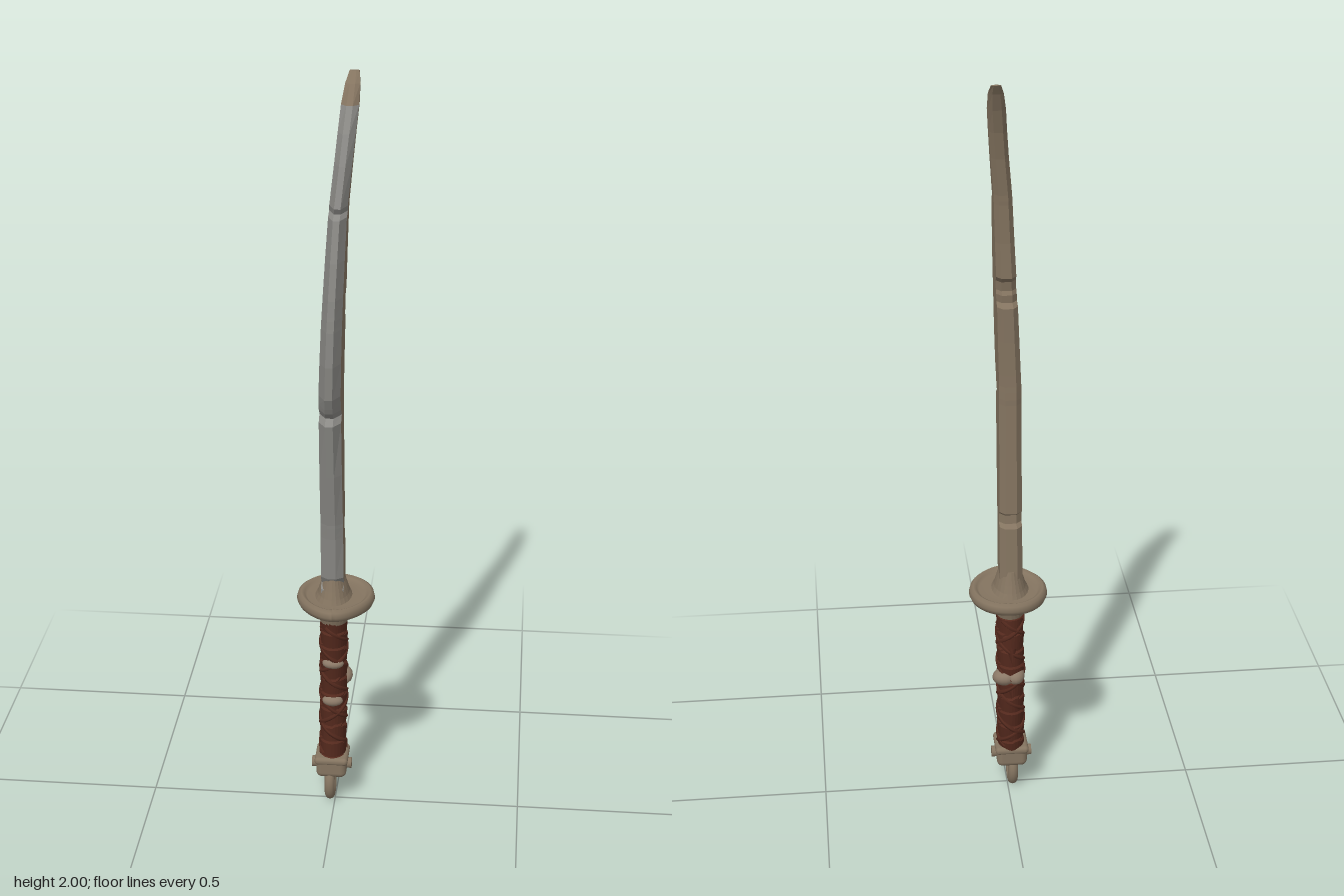
import * as THREE from 'three';
import { RoundedBoxGeometry } from 'three/addons/geometries/RoundedBoxGeometry.js';

const mat = (name, color) => Object.assign(new THREE.MeshStandardMaterial({ color }), { name });

// Closed loft through rings of points (counter-clockwise from above); pick(row, col) gives the material index
function loft(rings, pick = () => 0) {
  const lists = [[], []];
  const tri = (m, ...pts) => pts.forEach(p => lists[m].push(p.x, p.y, p.z));
  const n = rings[0].length;
  for (let i = 0; i < rings.length - 1; i++) {
    for (let j = 0; j < n; j++) {
      const k = (j + 1) % n, lo = rings[i], hi = rings[i + 1], m = pick(i, j);
      tri(m, lo[j], lo[k], hi[k]);
      tri(m, lo[j], hi[k], hi[j]);
    }
  }
  const mid = r => r.reduce((s, p) => s.add(p), new THREE.Vector3()).divideScalar(n);
  const bottom = rings[0], top = rings[rings.length - 1], cb = mid(bottom), ct = mid(top);
  for (let j = 0; j < n; j++) {
    const k = (j + 1) % n;
    tri(0, bottom[k], bottom[j], cb);
    tri(0, top[j], top[k], ct);
  }
  const g = new THREE.BufferGeometry();
  g.setAttribute('position', new THREE.Float32BufferAttribute([...lists[0], ...lists[1]], 3));
  g.addGroup(0, lists[0].length / 3, 0);
  g.addGroup(lists[0].length / 3, lists[1].length / 3, 1);
  g.computeVertexNormals();
  return g;
}

export function createModel() {
  const model = new THREE.Group();
  model.name = 'curvedSword';
  const metal = mat('agedBronze', 0x847460);
  const steel = mat('sharpenedSteel', 0x8a8985);
  const leather = mat('leather', 0x54291d);
  const core = mat('gripCore', 0x8c7a68);
  const add = (name, geometry, material, x = 0, y = 0, z = 0) => {
    const mesh = new THREE.Mesh(geometry, material);
    mesh.name = name;
    mesh.position.set(x, y, z);
    model.add(mesh);
    return mesh;
  };

  // Blade outline: height, cutting edge z, spine z (short steps are nicks)
  const outline = [
    [0.62, 0.035, -0.062], [0.655, 0.034, -0.06], [0.668, 0.018, -0.059], [0.69, 0.032, -0.057],
    [0.81, 0.042, -0.046], [0.818, 0.043, -0.03], [0.842, 0.046, -0.028], [0.852, 0.047, -0.043],
    [1.0, 0.074, -0.034], [1.15, 0.1, -0.025], [1.165, 0.08, -0.025], [1.185, 0.1, -0.024],
    [1.2, 0.108, -0.023], [1.23, 0.122, -0.022], [1.32, 0.132, -0.02], [1.41, 0.131, -0.02],
    [1.42, 0.13, -0.003], [1.44, 0.129, -0.005], [1.45, 0.128, 0.001], [1.475, 0.126, -0.003],
    [1.49, 0.125, -0.02], [1.58, 0.111, -0.018], [1.68, 0.087, -0.022], [1.69, 0.065, -0.023],
    [1.705, 0.074, -0.024], [1.8, 0.038, -0.037], [1.87, 0.005, -0.053], [1.93, -0.032, -0.073],
    [1.975, -0.068, -0.093], [2.0, -0.1, -0.109],
  ];
  const lerpTable = (table, y) => {
    const i = Math.max(1, table.findIndex(r => r[0] >= y));
    const [a, b] = [table[i - 1], table[i]];
    return THREE.MathUtils.lerp(a[1], b[1], (y - a[0]) / (b[0] - a[0]));
  };
  const lean = [[0.6, -0.006], [1.2, -0.007], [1.4, -0.001], [1.7, 0.011], [1.8, 0.02], [2, 0.037]];
  const half = [[0.6, 0.03], [1.2, 0.028], [1.4, 0.026], [1.75, 0.022], [1.96, 0.022], [2, 0.012]];
  const bevel = [[0.6, 0.012], [1, 0.02], [1.25, 0.036], [1.7, 0.036], [1.9, 0.02], [2, 0.004]];
  const bladeRings = outline.map(([y, zf, zb]) => {
    const x = lerpTable(lean, y), t = lerpTable(half, y);
    const d = zf - zb, b = Math.min(lerpTable(bevel, y), d * 0.45), c = Math.min(0.016, d * 0.3);
    const side = [[t * 0.35, zf], [t, zf - b], [t, zb + c], [t * 0.5, zb]];
    return [...side, ...side.slice().reverse().map(([px, pz]) => [-px, pz])]
      .map(([px, pz]) => new THREE.Vector3(x + px, y, pz));
  });
  const isEdge = (i, j) => (outline[i][0] < 1.92 && [0, 6, 7].includes(j) ? 1 : 0);
  add('blade', loft(bladeRings, isEdge), [metal, steel]);

  // Guard: lathed disc with a raised rim, pulled into a teardrop towards the front
  const profile = [[0, 0.6], [0.4, 0.6], [0.8, 0.597], [0.95, 0.6], [1, 0.612], [0.97, 0.625],
    [0.89, 0.631], [0.8, 0.626], [0.74, 0.619], [0.4, 0.623], [0, 0.625]];
  const guard = new THREE.LatheGeometry(profile.map(p => new THREE.Vector2(...p)), 48);
  const gp = guard.attributes.position;
  for (let i = 0; i < gp.count; i++) {
    const x = gp.getX(i), z = gp.getZ(i);
    const narrow = z > 0 ? 1 - 0.22 * z * z : 1;
    gp.setXYZ(i, x * 0.103 * narrow, gp.getY(i), z > 0 ? -0.02 + z * 0.124 : -0.02 + z * 0.111);
  }
  guard.computeVertexNormals();
  add('guard', guard, metal);

  // Oval rings used for collars and grip
  const oval = (y, cx, cz, rx, rz, n = 24, bump = () => 1) => Array.from({ length: n }, (_, j) => {
    const a = j / n * Math.PI * 2, s = bump(a);
    return new THREE.Vector3(cx + Math.cos(a) * rx * s, y, cz - Math.sin(a) * rz * s);
  });
  const collar = (name, rows) => add(name, loft(rows.map(([y, rx, rz]) => oval(y, -0.005, -0.016, rx, rz))), metal);
  collar('bladeCollar', [[0.62, 0.05, 0.068], [0.635, 0.042, 0.062], [0.655, 0.036, 0.055], [0.69, 0.024, 0.044]]);
  collar('gripCollar', [[0.55, 0.038, 0.046], [0.565, 0.042, 0.05], [0.585, 0.048, 0.056], [0.602, 0.056, 0.064]]);

  // Grip: leather wound in overlapping turns, slightly bowed
  const gripX = y => -0.005 - 0.006 * (0.56 - y);
  const gripZ = y => -0.013 - 0.012 * Math.sin((y - 0.13) / 0.43 * Math.PI);
  const rows = 84, gripRings = [];
  for (let i = 0; i <= rows; i++) {
    const y = 0.13 + 0.43 * i / rows;
    const turns = a => {
      const f = (y - 0.13) * 21 + a / (Math.PI * 2) + 0.12 * Math.sin(a * 2);
      return 0.94 + 0.11 * (f - Math.floor(f));
    };
    gripRings.push(oval(y, gripX(y), gripZ(y), 0.036, 0.044, 28, turns));
  }
  add('leatherGrip', loft(gripRings), leather);

  // Crossing straps, one pair winding each way
  for (const [dir, start] of [[1, 0], [-1, 1], [-1, 4]]) {
    const pts = Array.from({ length: 50 }, (_, i) => {
      const y = 0.15 + 0.39 * i / 49, a = start + dir * i / 49 * Math.PI * 5;
      return new THREE.Vector3(gripX(y) + Math.cos(a) * 0.034, y, gripZ(y) - Math.sin(a) * 0.043);
    });
    add('crossStrap', new THREE.TubeGeometry(new THREE.CatmullRomCurve3(pts), 120, 0.006, 5), leather);
  }

  // Worn gaps where the core shows, and loose leather ends at the back
  for (const [x, y, z, sx, sy, sz, tilt] of [
    [0.01, 0.365, -0.042, 0.034, 0.024, 0.034, 0.3], [-0.016, 0.372, -0.046, 0.026, 0.024, 0.032, -0.2],
    [-0.005, 0.428, 0.01, 0.029, 0.015, 0.019, 0], [-0.006, 0.315, 0.012, 0.028, 0.016, 0.018, 0]]) {
    const gap = add('wornGap', new THREE.SphereGeometry(1, 16, 10), core, x, y, z);
    gap.scale.set(sx, sy, sz);
    gap.rotation.x = tilt;
  }
  for (const y of [0.44, 0.33]) {
    const flap = add('leatherEnd', new THREE.ConeGeometry(0.014, 0.04, 5), leather, -0.005, y, -0.066);
    flap.rotation.x = -2.7;
  }

  // Pommel cap with rivets and a hanging ring
  add('pommel', new RoundedBoxGeometry(0.082, 0.062, 0.09, 3, 0.016), metal, -0.009, 0.112, -0.01);
  add('pommelBand', new RoundedBoxGeometry(0.09, 0.022, 0.094, 3, 0.01), metal, -0.009, 0.132, -0.01);
  for (const x of [-0.054, 0.034]) {
    add('rivet', new THREE.CylinderGeometry(0.015, 0.015, 0.02, 16), metal, x, 0.108, -0.01).rotation.z = Math.PI / 2;
  }
  const ring = add('hangingRing', new THREE.TorusGeometry(0.032, 0.014, 12, 32), metal, -0.013, 0.055, -0.002);
  ring.rotation.y = Math.PI / 2;
  ring.scale.y = 1.19;
  return model;
}
